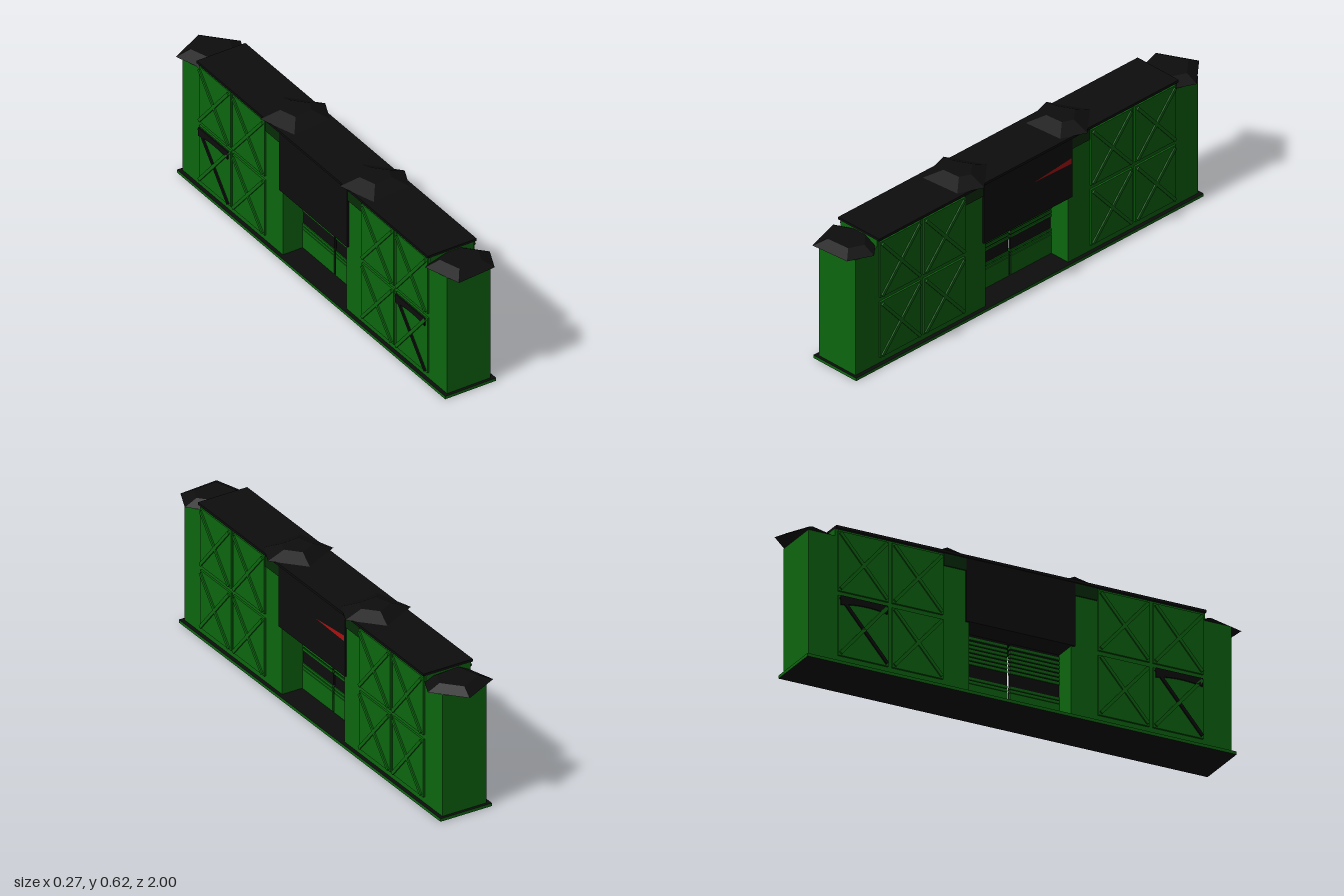
import * as THREE from 'three';

const mat = (name, color, side = THREE.FrontSide) => {
  const m = new THREE.MeshStandardMaterial({ color, side });
  m.name = name;
  return m;
};

export function createModel() {
  const green = mat('green', 0x0d660f);
  const darkGreen = mat('darkGreen', 0x062c07);
  const black = mat('black', 0x0d0d0d, THREE.DoubleSide);
  const red = mat('red', 0xb01010, THREE.DoubleSide);

  const root = new THREE.Group();
  const hull = new THREE.Group();
  hull.name = 'building';
  hull.position.set(-0.006, 0, 0.012);
  root.add(hull);

  const add = (name, geo, material, parent = hull) => {
    const m = new THREE.Mesh(geo, material);
    m.name = name;
    parent.add(m);
    return m;
  };
  // Box given by its limits on each axis
  const box = (name, x0, x1, y0, y1, z0, z1, material) => {
    const m = add(name, new THREE.BoxGeometry(x1 - x0, y1 - y0, z1 - z0), material);
    m.position.set((x0 + x1) / 2, (y0 + y1) / 2, (z0 + z1) / 2);
    return m;
  };

  // Base slab: green rim, black floor and underside
  box('base', -0.118, 0.118, 0, 0.013, -0.945, 0.945, [green, green, black, black, green, green]);

  // Long roof plate and the hanging centre panel
  box('roof', -0.113, 0.113, 0.58, 0.591, -0.815, 0.815, black);
  box('centrePanel', -0.109, 0.109, 0.31, 0.588, -0.24, 0.24, black);

  // Thin red mark on the panel
  const mark = new THREE.Shape([
    new THREE.Vector2(0.03, 0.47), new THREE.Vector2(0.235, 0.465), new THREE.Vector2(0.235, 0.49)]);
  const markMesh = add('panelMark', new THREE.ShapeGeometry(mark), red);
  markMesh.rotation.y = Math.PI / 2;
  markMesh.position.x = 0.1096;

  const rows = [[0.04, 0.295], [0.315, 0.57]];
  const columns = [[0.342, 0.567], [0.583, 0.805]];

  for (const end of [1, -1]) {
    const span = (a, b) => (end > 0 ? [a, b] : [-b, -a]);
    // Tall wing and lower end block
    box('wing', -0.101, 0.101, 0.013, 0.58, ...span(0.225, 0.815), green);
    box('endBlock', -0.101, 0.101, 0.013, 0.55, ...span(0.815, 0.932), green);

    for (const side of [1, -1]) {
      const across = (a, b) => (side > 0 ? [a, b] : [-b, -a]);
      // Dark collar under the roof cap
      box('collar', ...across(0.09, 0.107), 0.528, 0.58, ...span(0.228, 0.338), darkGreen);

      rows.forEach(([y0, y1], r) => columns.forEach(([z0, z1], c) => {
        box('sidePanel', ...across(0.1, 0.109), y0, y1, ...span(z0, z1), green);
        // Cross braces stand slightly off the panel
        const h = y1 - y0 - 0.016, w = z1 - z0 - 0.016;
        const dark = side < 0 && r === 0 && c === 1;
        for (const slope of [1, -1]) {
          const brace = add('crossBrace', new THREE.BoxGeometry(0.006, 0.014, Math.hypot(h, w)),
            dark && slope === -1 ? black : green);
          brace.position.set(side * 0.1145, (y0 + y1) / 2, end * (z0 + z1) / 2);
          brace.rotation.x = slope * Math.atan2(h, w) * (dark ? end * -end : 1);
        }
        // Curved dark band across the top of the panel
        if (dark) {
          const s = new THREE.Shape();
          s.moveTo(-w / 2, 0);
          s.lineTo(w / 2, 0);
          s.lineTo(w / 2, -0.035);
          s.quadraticCurveTo(0, -0.015, -w / 2, -0.04);
          const band = add('curvedBand',
            new THREE.ExtrudeGeometry(s, { depth: 0.006, bevelEnabled: false }), black);
          band.rotation.y = -Math.PI / 2;
          band.position.set(-0.1115, y1 - 0.002, end * (z0 + z1) / 2);
        }
      }));
    }

    // Louvred shutter halves with a narrow slit between them
    const [g0, g1] = span(0.006, 0.225);
    box('shutterBack', -0.005, 0.005, 0.013, 0.31, g0, g1, black);
    box('shutterFoot', -0.009, 0.009, 0.013, 0.098, g0, g1, green);
    for (const y of [0.106, 0.121, 0.187, 0.204, 0.221, 0.239, 0.256, 0.273, 0.293]) {
      box('slat', -0.009, 0.009, y - 0.0055, y + 0.0055, g0, g1, green);
    }
  }

  // Irregular five-sided roof caps, lofted from two rings
  const outline = [[-0.138, -0.045], [-0.087, 0.118], [0.088, 0.103], [0.133, 0], [0.02, -0.125]];
  const capGeometry = (y0, y1, scale) => {
    const p = [];
    const at = (i, s, y) => [outline[i % 5][0] * s, y, outline[i % 5][1] * s];
    for (let i = 0; i < 5; i++) {
      const a = at(i, 1, y0), b = at(i + 1, 1, y0);
      const c = at(i + 1, scale, y1), d = at(i, scale, y1);
      p.push(...a, ...b, ...c, ...a, ...c, ...d);
      p.push(...d, ...c, 0, y1, 0, ...b, ...a, 0, y0, 0);
    }
    const g = new THREE.BufferGeometry();
    g.setAttribute('position', new THREE.Float32BufferAttribute(p, 3));
    g.computeVertexNormals();
    return g;
  };
  for (const z of [0.28, -0.28]) {
    add('upperCap', capGeometry(0.593, 0.622, 0.45), black, root).position.z = z;
  }
  for (const z of [0.88, -0.875]) {
    add('endCap', capGeometry(0.551, 0.577, 0.6), black, root).position.z = z;
  }
  return root;
}
